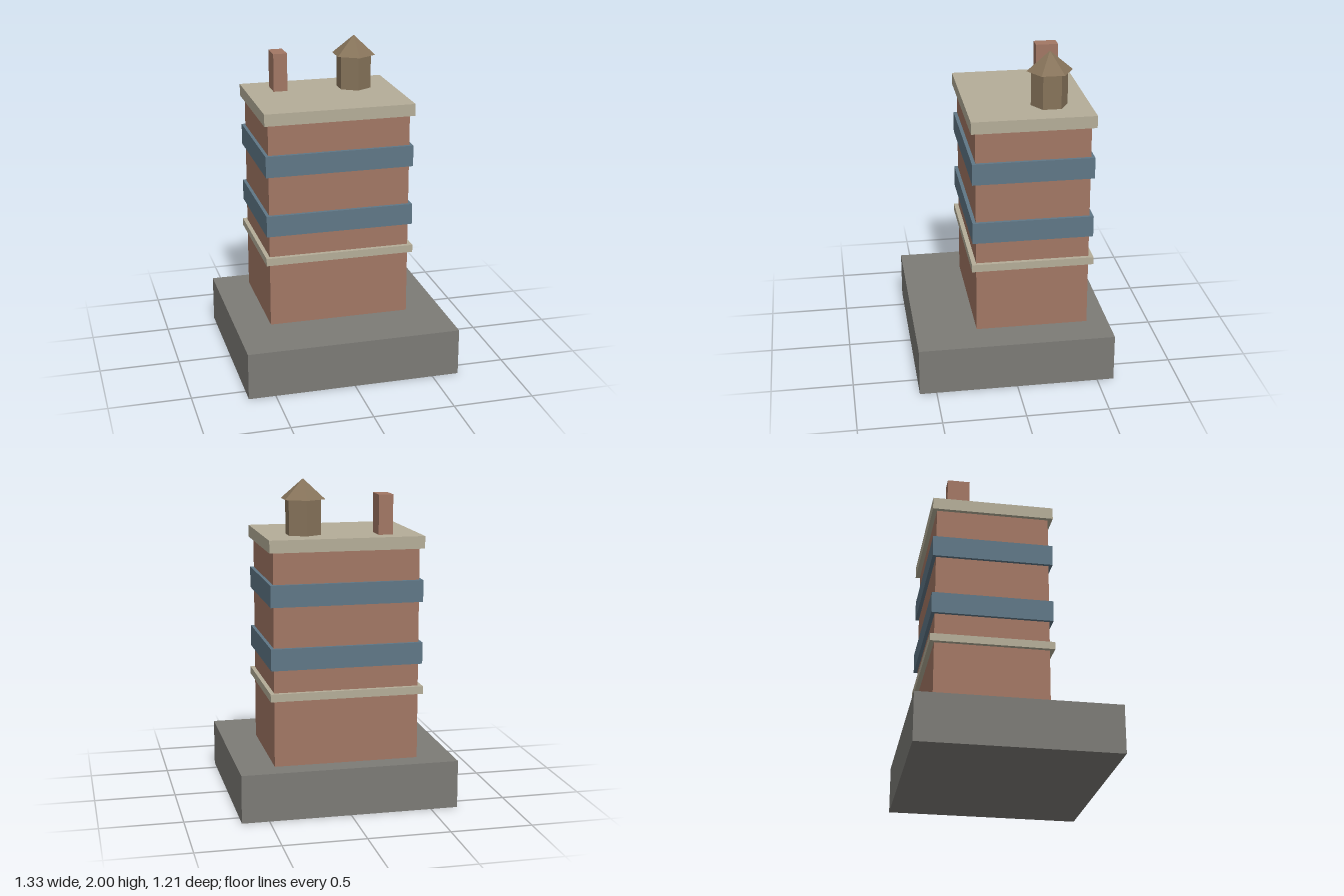
import * as THREE from 'three';

const mat = (name, color) => {
  const m = new THREE.MeshStandardMaterial({ color });
  m.name = name;
  return m;
};

export function createModel() {
  const model = new THREE.Group();
  model.name = 'tower';
  const concrete = mat('concrete', 0x7c7b76);
  const brick = mat('brick', 0xa27764);
  const stone = mat('stone', 0xb4ad98);
  const glass = mat('glass', 0x5f7786);
  const wood = mat('wood', 0x86735a);

  // Box given by its lower and upper height, size and centre
  function block(name, material, w, y0, y1, d, x = 0, z = -0.125) {
    const mesh = new THREE.Mesh(new THREE.BoxGeometry(w, y1 - y0, d), material);
    mesh.name = name;
    mesh.position.set(x, (y0 + y1) / 2, z);
    model.add(mesh);
  }

  // Six-sided solid with corners pointing to front and back
  function hexagon(name, rTop, rBottom, y0, y1) {
    const geo = new THREE.CylinderGeometry(rTop, rBottom, y1 - y0, 6).toNonIndexed();
    geo.computeVertexNormals();
    const mesh = new THREE.Mesh(geo, wood);
    mesh.name = name;
    mesh.position.set(0.22, (y0 + y1) / 2, -0.256);
    model.add(mesh);
  }

  // Plinth and brick shaft
  block('plinth', concrete, 1.334, 0, 0.295, 1.206, 0, 0);
  block('shaft', brick, 0.886, 0.295, 1.592, 0.694);

  // Ledge, window bands and roof slab
  block('ledge', stone, 0.937, 0.703, 0.75, 0.749);
  [0.89, 1.27].forEach((y, i) => block('windowBand' + (i + 1), glass, 0.926, y, y + 0.132, 0.738));
  block('roofSlab', stone, 0.937, 1.592, 1.667, 0.749);

  // Rooftop chimney and water tank
  block('chimney', brick, 0.088, 1.667, 1.907, 0.14, -0.256, -0.32);
  hexagon('tankBody', 0.112, 0.112, 1.667, 1.88);
  hexagon('tankRoof', 0, 0.14, 1.88, 2);

  return model;
}
